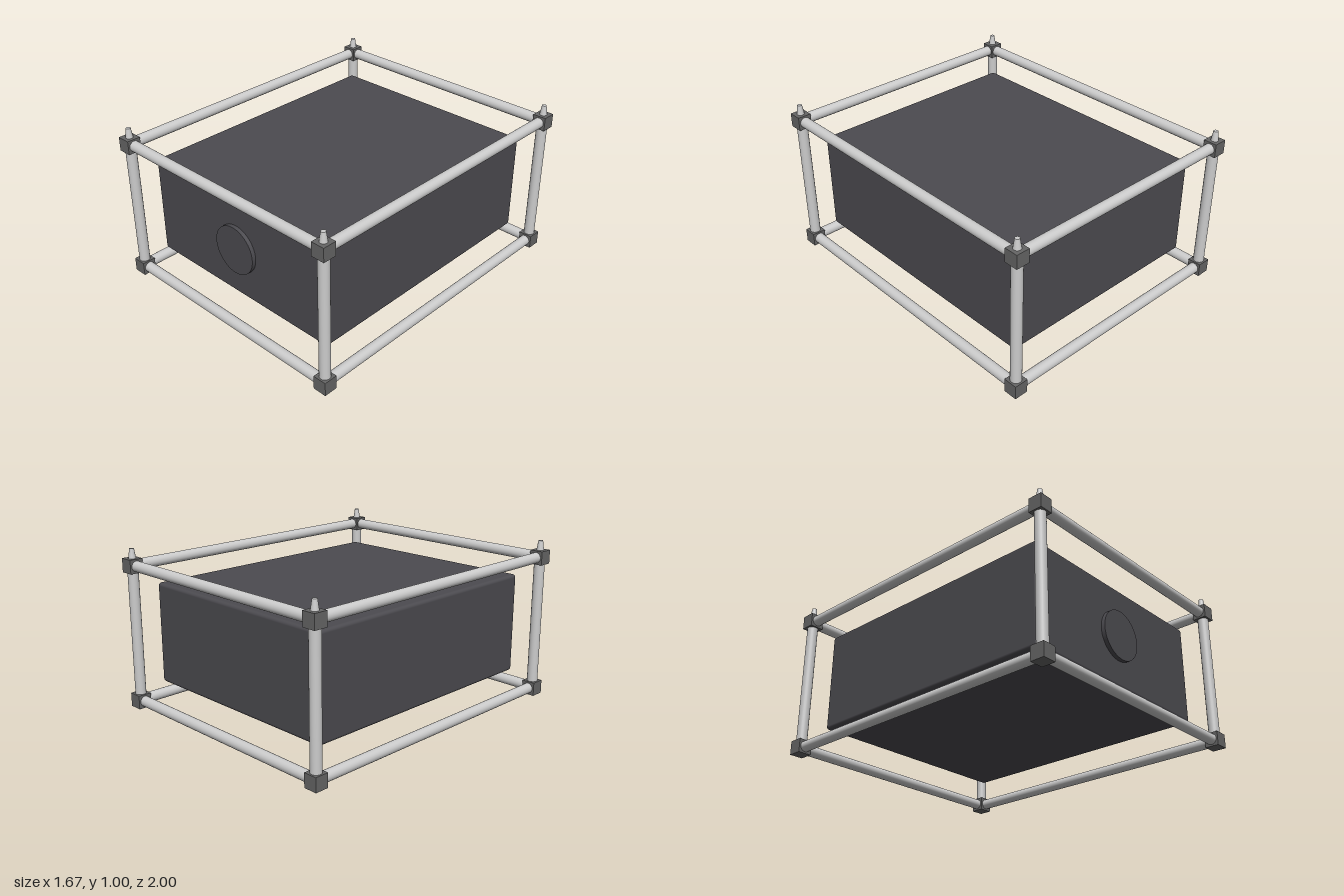
import * as THREE from 'three';
import { RoundedBoxGeometry } from 'three/addons/geometries/RoundedBoxGeometry.js';

export function createModel() {
  const model = new THREE.Group();
  model.name = 'framedCase';

  const tubeMat = new THREE.MeshStandardMaterial({ color: 0xcccccc });
  const jointMat = new THREE.MeshStandardMaterial({ color: 0x666666 });
  const caseMat = new THREE.MeshStandardMaterial({ color: 0x4c4b50 });

  const add = (name, geometry, material, x, y, z) => {
    const mesh = new THREE.Mesh(geometry, material);
    mesh.name = name;
    mesh.position.set(x, y, z);
    model.add(mesh);
    return mesh;
  };

  // Frame dimensions, measured to the joint centres
  const X = 0.79, Z = 0.957, LOW = 0.043, HIGH = 0.898;
  const JOINT = 0.086, TUBE = 0.033;

  const jointGeo = new THREE.BoxGeometry(JOINT, JOINT, JOINT);
  const tube = (length) => new THREE.CylinderGeometry(TUBE, TUBE, length - JOINT / 2, 24);
  const widthGeo = tube(2 * X).rotateZ(Math.PI / 2);
  const depthGeo = tube(2 * Z).rotateX(Math.PI / 2);
  const postGeo = tube(HIGH - LOW);
  const pinGeo = new THREE.CylinderGeometry(0.014, 0.023, 0.06, 20);

  // Horizontal rails
  for (const y of [LOW, HIGH]) {
    for (const s of [-1, 1]) {
      add('widthRail', widthGeo, tubeMat, 0, y, s * Z);
      add('depthRail', depthGeo, tubeMat, s * X, y, 0);
    }
  }

  // Corner posts, joints and tapered stacking pins
  for (const sx of [-1, 1]) {
    for (const sz of [-1, 1]) {
      const x = sx * X, z = sz * Z;
      add('cornerPost', postGeo, tubeMat, x, (LOW + HIGH) / 2, z);
      add('lowerJoint', jointGeo, jointMat, x, LOW, z);
      add('upperJoint', jointGeo, jointMat, x, HIGH, z);
      add('stackingPin', pinGeo, tubeMat, x, HIGH + JOINT / 2 + 0.03, z);
    }
  }

  // Case suspended inside the frame
  add('caseBody', new RoundedBoxGeometry(1.4, 0.63, 1.7, 3, 0.02), caseMat, 0, 0.475, 0);

  // Round port cover on the front
  const portGeo = new THREE.CylinderGeometry(0.153, 0.153, 0.045, 48).rotateX(Math.PI / 2);
  add('portCover', portGeo, caseMat, 0, 0.475, 0.8525);

  return model;
}
